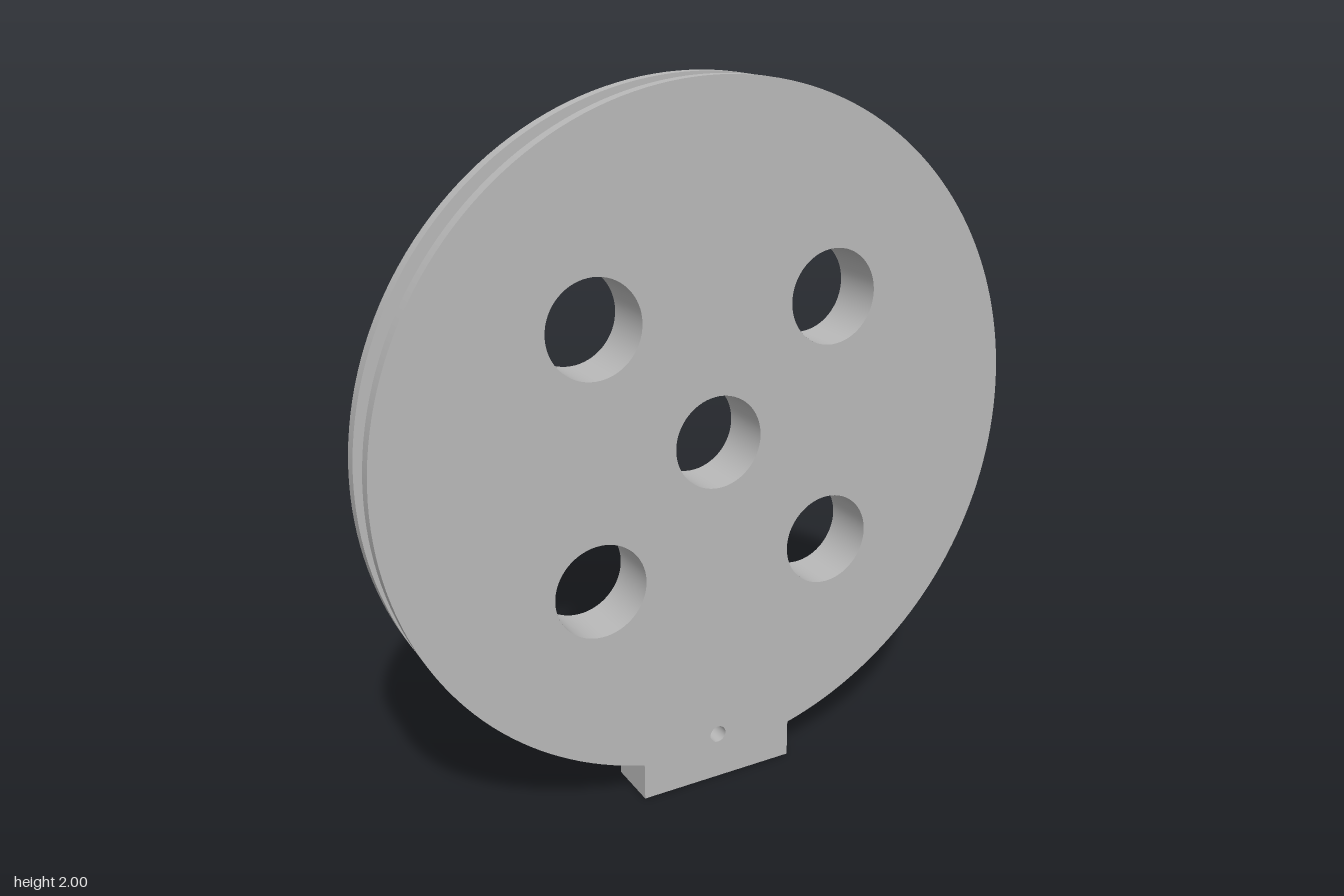
import * as THREE from 'three';
import { ParametricGeometry } from 'three/addons/geometries/ParametricGeometry.js';

const CY = 1.04;             // wheel centre height
const R = 0.96, CORE = 0.88; // flange and groove floor radii
const Z = 0.079, ZI = 0.04;  // outer and inner flange faces
const TAB = 0.24;            // half width of the foot
const CORD = 0.895, CR = 0.0275; // cord channel: ring radius, tube radius
const PIN_Y = 0.14, PIN_R = 0.025;

export function createModel() {
  const group = new THREE.Group();
  const grey = new THREE.MeshStandardMaterial({ color: 0xb8b8b8, side: THREE.DoubleSide });
  grey.name = 'grey';
  const add = (name, geometry) => {
    const m = new THREE.Mesh(geometry, grey);
    m.name = name;
    group.add(m);
    return m;
  };
  const surface = (name, nu, nv, f) => add(name, new ParametricGeometry(f, nu, nv));

  // Angles are measured from the bottom of the wheel
  const edge = r => Math.asin(TAB / r);
  const heightAtTab = r => CY - Math.sqrt(r * r - TAB * TAB);
  const polar = (r, phi, z, out) => out.set(r * Math.sin(phi), CY - r * Math.cos(phi), z);
  const a0 = -Math.PI / 2 + edge(R), a1 = 1.5 * Math.PI - edge(R);
  const b0 = -Math.PI / 2 + edge(CORE), b1 = 1.5 * Math.PI - edge(CORE);

  // Through holes: centre, four around it, and the small pin hole
  const holes = [[0, CY, 0.131]];
  for (const x of [-0.359, 0.359]) for (const y of [-0.359, 0.359]) holes.push([x, CY + y, 0.134]);

  const face = new THREE.Shape();
  face.moveTo(-TAB, 0);
  face.lineTo(TAB, 0);
  face.absarc(0, CY, R, a0, a1, false);
  face.closePath();
  for (const [x, y, r] of [...holes, [0, PIN_Y, PIN_R]]) {
    face.holes.push(new THREE.Path().absarc(x, y, r, 0, 2 * Math.PI, true));
  }

  // Inner flange face, interrupted by the foot
  const ring = new THREE.Shape();
  ring.absarc(0, CY, R, a0, a1, false);
  ring.absarc(0, CY, CORE, b1, b0, true);
  ring.closePath();

  for (const s of [1, -1]) {
    const side = s > 0 ? 'front' : 'back';
    const outer = add(side + 'Face', new THREE.ShapeGeometry(face, 80));
    outer.position.z = s * Z;
    const inner = add(side + 'FlangeInnerFace', new THREE.ShapeGeometry(ring, 80));
    inner.position.z = s * ZI;
    if (s < 0) outer.geometry.rotateY(Math.PI);
    else inner.geometry.rotateY(Math.PI);

    // Flange edge
    surface(side + 'FlangeEdge', 160, 1, (u, v, p) =>
      polar(R, edge(R) + u * 2 * (Math.PI - edge(R)), s * (ZI + v * (Z - ZI)), p));

    // Flat shoulder beside the cord groove
    const lip = Math.sqrt(CR ** 2 - (CORD - CORE) ** 2);
    surface(side + 'GrooveShoulder', 160, 1, (u, v, p) =>
      polar(CORE, edge(CORE) + u * 2 * (Math.PI - edge(CORE)), s * (lip + v * (ZI - lip)), p));

    // Pin hole wall, ending on the cord channel
    surface(side + 'PinHole', 32, 1, (u, v, p) => {
      const a = u * 2 * Math.PI;
      const y = PIN_Y + PIN_R * Math.sin(a);
      const zIn = Math.sqrt(Math.max(0, CR ** 2 - (CY - y - CORD) ** 2));
      p.set(PIN_R * Math.cos(a), y, s * (zIn + v * (Z - zIn)));
    });

    // Cord channel through one half of the foot, cut open by the pin hole
    surface(s > 0 ? 'leftCordChannel' : 'rightCordChannel', 48, 12, (u, v, p) => {
      const t = u * 2 * Math.PI;
      const r = CORD + CR * Math.cos(t);
      const x0 = Math.sqrt(Math.max(0, PIN_R ** 2 - (CY - r - PIN_Y) ** 2));
      const start = Math.asin(x0 / r);
      polar(r, s * (start + v * (edge(r) - start)), CR * Math.sin(t), p);
    });
  }

  // Rounded cord groove around the rim
  const open = Math.acos((CORE - CORD) / CR);
  surface('cordGroove', 160, 12, (u, v, p) => {
    const t = open + v * 2 * (Math.PI - open);
    const r = CORD + CR * Math.cos(t);
    polar(r, edge(r) + u * 2 * (Math.PI - edge(r)), CR * Math.sin(t), p);
  });

  // Walls of the large holes
  for (const [x, y, r] of holes) {
    const wall = new THREE.CylinderGeometry(r, r, 2 * Z, 64, 1, true).rotateX(Math.PI / 2);
    add('holeWall', wall).position.set(x, y, 0);
  }

  // End faces of the foot, rising between the flanges with a notch for the cord
  const end = new THREE.Shape();
  end.moveTo(-Z, 0);
  end.lineTo(Z, 0);
  end.lineTo(Z, heightAtTab(R));
  end.lineTo(ZI, heightAtTab(R));
  end.lineTo(ZI, heightAtTab(CORE));
  for (let i = 0; i <= 24; i++) {
    const t = open - (i / 24) * 2 * open;
    end.lineTo(CR * Math.sin(t), heightAtTab(CORD + CR * Math.cos(t)));
  }
  end.lineTo(-ZI, heightAtTab(CORE));
  end.lineTo(-ZI, heightAtTab(R));
  end.lineTo(-Z, heightAtTab(R));
  end.closePath();
  for (const s of [1, -1]) {
    const g = new THREE.ShapeGeometry(end).rotateY(s * Math.PI / 2);
    add(s > 0 ? 'leftFootEnd' : 'rightFootEnd', g).position.x = s * TAB;
  }

  // Underside of the foot
  add('footBase', new THREE.PlaneGeometry(2 * TAB, 2 * Z).rotateX(Math.PI / 2));

  return group;
}
